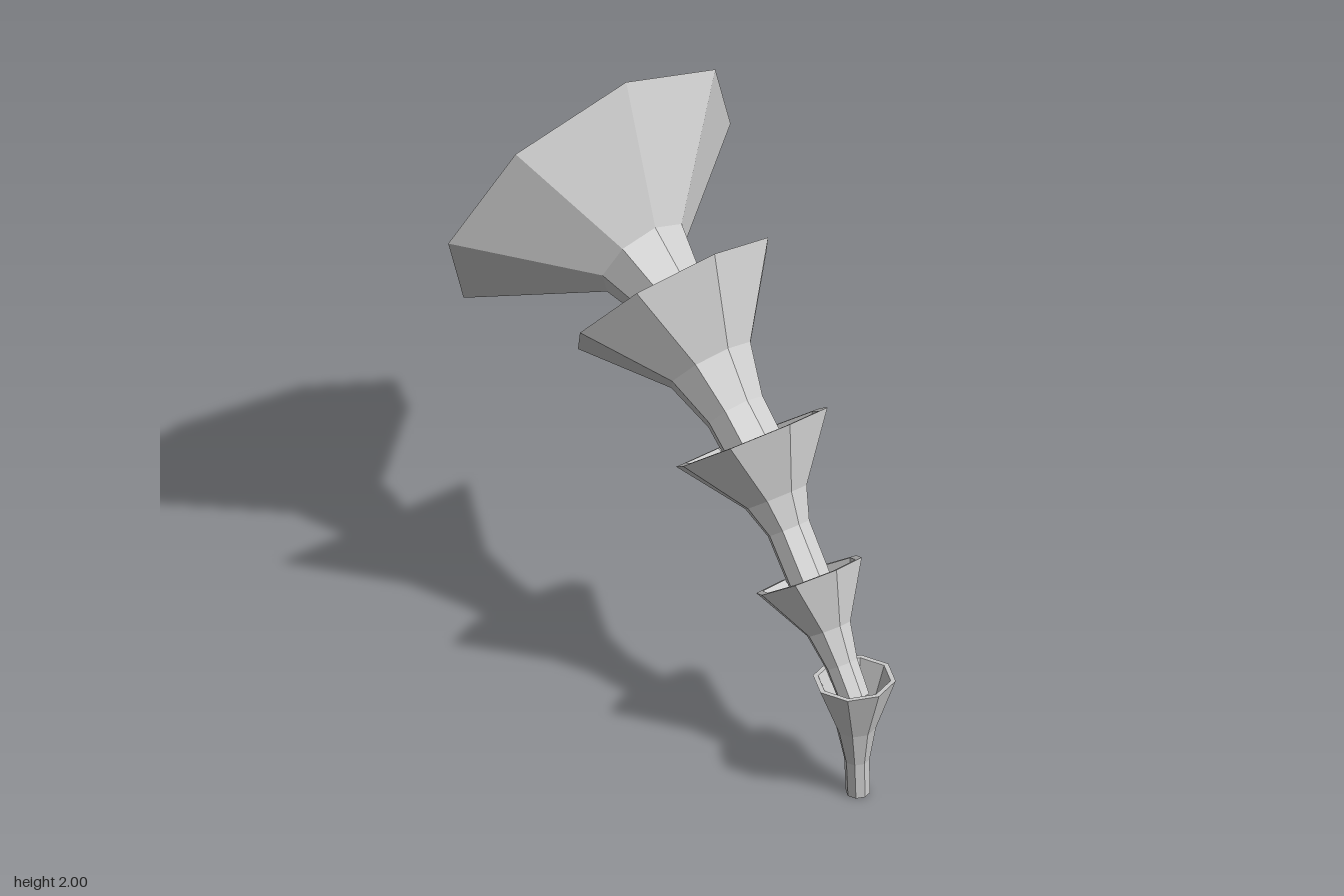
import * as THREE from 'three';

const material = new THREE.MeshStandardMaterial({ color: 0xcccccc, flatShading: true });

// Each trumpet: rim centre (z, y), backward tilt, rim wall thickness,
// rim radius, then [depth below rim, radius] from base to throat.
const TRUMPETS = [
  { z: 0.738, y: 0.425, tilt: 0.044, wall: 0.016, rim: 0.13,
    rings: [[0.425, 0.038], [0.3, 0.04], [0.18, 0.063]] },
  { z: 0.498, y: 0.678, tilt: 0.629, wall: 0.022, rim: 0.18,
    rings: [[0.41, 0.05], [0.295, 0.053], [0.177, 0.074]] },
  { z: 0.195, y: 1.029, tilt: 0.693, wall: 0.031, rim: 0.263,
    rings: [[0.51, 0.07], [0.305, 0.072], [0.2, 0.107]] },
  { z: -0.222, y: 1.335, tilt: 0.906, wall: 0.042, rim: 0.356,
    rings: [[0.6, 0.098], [0.42, 0.101], [0.254, 0.148]] },
  { z: -0.665, y: 1.494, tilt: 1.202, wall: 0.067, rim: 0.54,
    rings: [[0.73, 0.103], [0.514, 0.106], [0.312, 0.16]] },
];

// Closed eight-sided bell: base cap, neck, flare, flat lip, hollow and its floor
function bellGeometry({ rings, rim, wall }) {
  const [throatDepth, throatRadius] = rings[2];
  const profile = [
    [0, -rings[0][0]],
    ...rings.map(([depth, radius]) => [radius, -depth]),
    [rim, 0],
    [rim - wall, 0],
    [throatRadius - wall, -throatDepth],
    [0, -throatDepth],
  ];
  return new THREE.LatheGeometry(profile.map(([r, y]) => new THREE.Vector2(r, y)), 8);
}

export function createModel() {
  const model = new THREE.Group();
  model.name = 'trumpetStalk';
  TRUMPETS.forEach((spec, i) => {
    const bell = new THREE.Mesh(bellGeometry(spec), material);
    bell.name = `trumpetSection${i + 1}`;
    bell.position.set(0, spec.y, spec.z);
    bell.rotation.x = -spec.tilt;
    model.add(bell);
  });
  return model;
}
